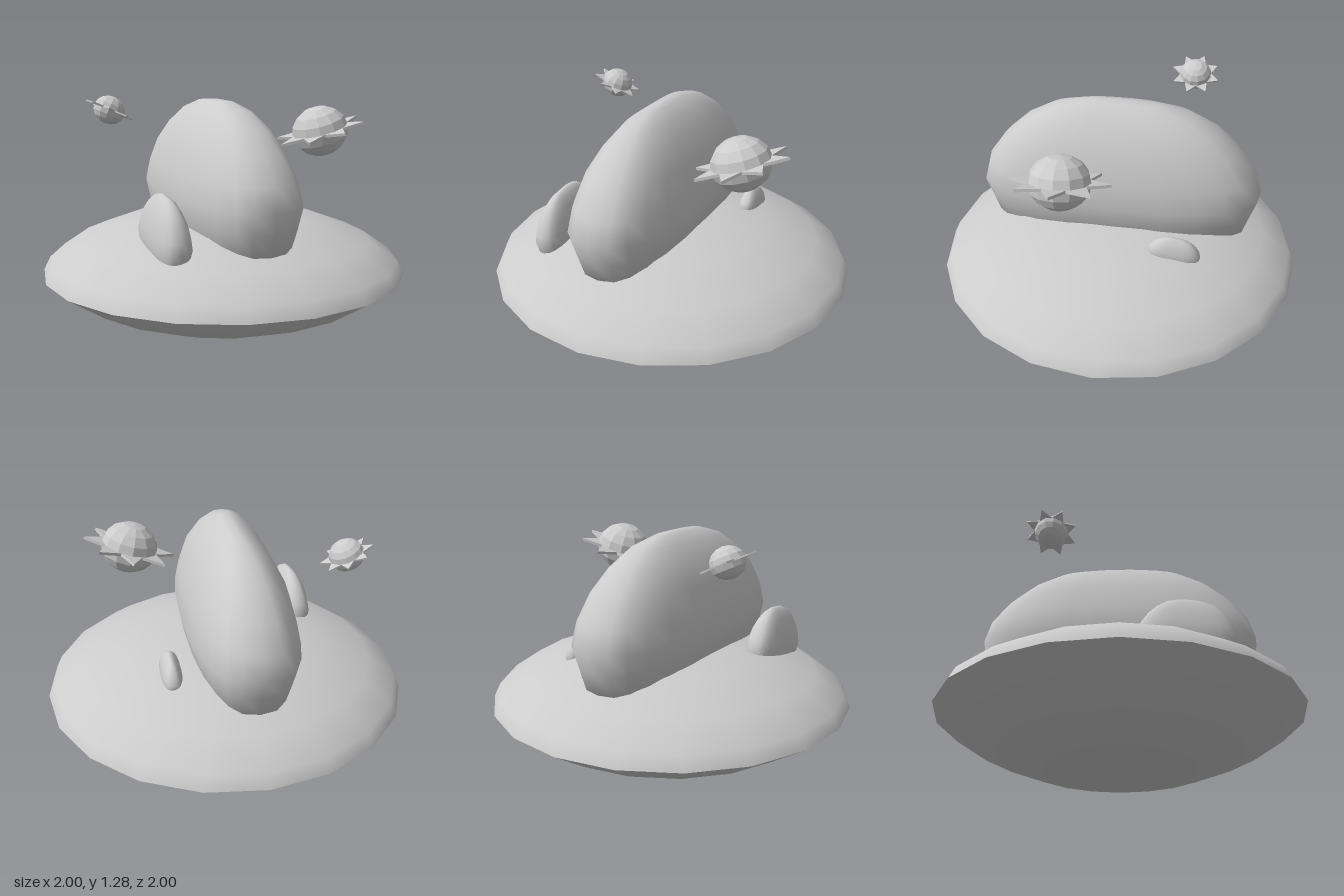
import * as THREE from 'three';
import { mergeVertices } from 'three/addons/utils/BufferGeometryUtils.js';

const smooth = new THREE.MeshStandardMaterial({ color: 0xcccccc });
const faceted = new THREE.MeshStandardMaterial({ color: 0xcccccc, flatShading: true });

function add(parent, name, geometry, material) {
  const mesh = new THREE.Mesh(geometry, material);
  mesh.name = name;
  parent.add(mesh);
  return mesh;
}

const lathe = (points) =>
  new THREE.LatheGeometry(points.map(([r, y]) => new THREE.Vector2(r, y)), 20);

// Boulder rings, top to bottom: height above the widest ring, half width, half length
const RINGS = [
  [0.51, 0, 0], [0.5, 0.045, 0.2], [0.455, 0.11, 0.37], [0.37, 0.175, 0.52],
  [0.26, 0.235, 0.64], [0.13, 0.27, 0.735], [0.01, 0.295, 0.768],
  [-0.1, 0.275, 0.735], [-0.21, 0.24, 0.705], [-0.34, 0.16, 0.55], [-0.42, 0, 0],
];

// Sphere grid moved onto long, rounded cross-sections
function boulderGeometry() {
  const n = 24;
  let g = new THREE.SphereGeometry(1, n, RINGS.length - 1);
  const p = g.attributes.position;
  const round = (v) => Math.sign(v) * Math.pow(Math.abs(v), 2 / 2.6);
  for (let i = 0; i < p.count; i++) {
    const [y, w, l] = RINGS[Math.floor(i / (n + 1))];
    const a = ((i % (n + 1)) % n) / n * Math.PI * 2;
    p.setXYZ(i, -round(Math.cos(a)) * w, y, round(Math.sin(a)) * l);
  }
  g.deleteAttribute('uv');
  g.deleteAttribute('normal');
  g = mergeVertices(g);
  g.computeVertexNormals();
  return g;
}

// Flat eight-pointed star, lying level
function starGeometry(outer, inner, thickness) {
  const shape = new THREE.Shape();
  for (let i = 0; i < 16; i++) {
    const a = i * Math.PI / 8, r = i % 2 ? inner : outer;
    shape[i ? 'lineTo' : 'moveTo'](Math.cos(a) * r, Math.sin(a) * r);
  }
  shape.closePath();
  const g = new THREE.ExtrudeGeometry(shape, { depth: thickness, bevelEnabled: false });
  return g.translate(0, 0, -thickness / 2).rotateX(-Math.PI / 2);
}

// Floating ball with a ring of spikes
function spikedBall(name, radius, outer, position, tilt, spin) {
  const group = new THREE.Group();
  group.name = name;
  add(group, 'ball', new THREE.SphereGeometry(radius, 12, 8), faceted).scale.y = 0.88;
  add(group, 'spikes', starGeometry(outer, radius * 0.97, outer * 0.06), faceted);
  group.position.set(...position);
  group.rotation.set(0, spin, tilt, 'ZYX');
  return group;
}

export function createModel() {
  const model = new THREE.Group();
  model.name = 'floatingIsland';

  // Lens-shaped island
  add(model, 'islandUnderside', lathe([
    [0, 0.005], [0.27, 0.03], [0.53, 0.095], [0.8, 0.205], [1, 0.34],
  ]), smooth);
  add(model, 'islandTop', lathe([
    [1, 0.34], [0.965, 0.41], [0.81, 0.515], [0.54, 0.615], [0.27, 0.652], [0, 0.665],
  ]), smooth);

  // Boulders: name, position, scale, tilt forward, turn
  const boulder = boulderGeometry();
  for (const [name, position, scale, tilt, turn] of [
    ['mainBoulder', [-0.045, 0.765, 0], [1, 1, 1], 0, -0.025],
    ['rightBoulder', [-0.47, 0.605, 0.34], [0.325, 0.44, 0.335], 0.12, 0],
    ['leftBoulder', [0.355, 0.615, -0.33], [0.19, 0.19, 0.182], -0.16, 0],
  ]) {
    const mesh = add(model, name, boulder, smooth);
    mesh.position.set(...position);
    mesh.scale.set(...scale);
    mesh.rotation.set(tilt, turn, 0);
  }

  // Spiked balls in the air
  model.add(
    spikedBall('largeSpikedBall', 0.155, 0.25, [0.483, 1.098, 0.223], 0.295, 0),
    spikedBall('smallSpikedBall', 0.09, 0.138, [-0.54, 1.205, -0.36], -0.44, -0.3),
  );
  return model;
}
